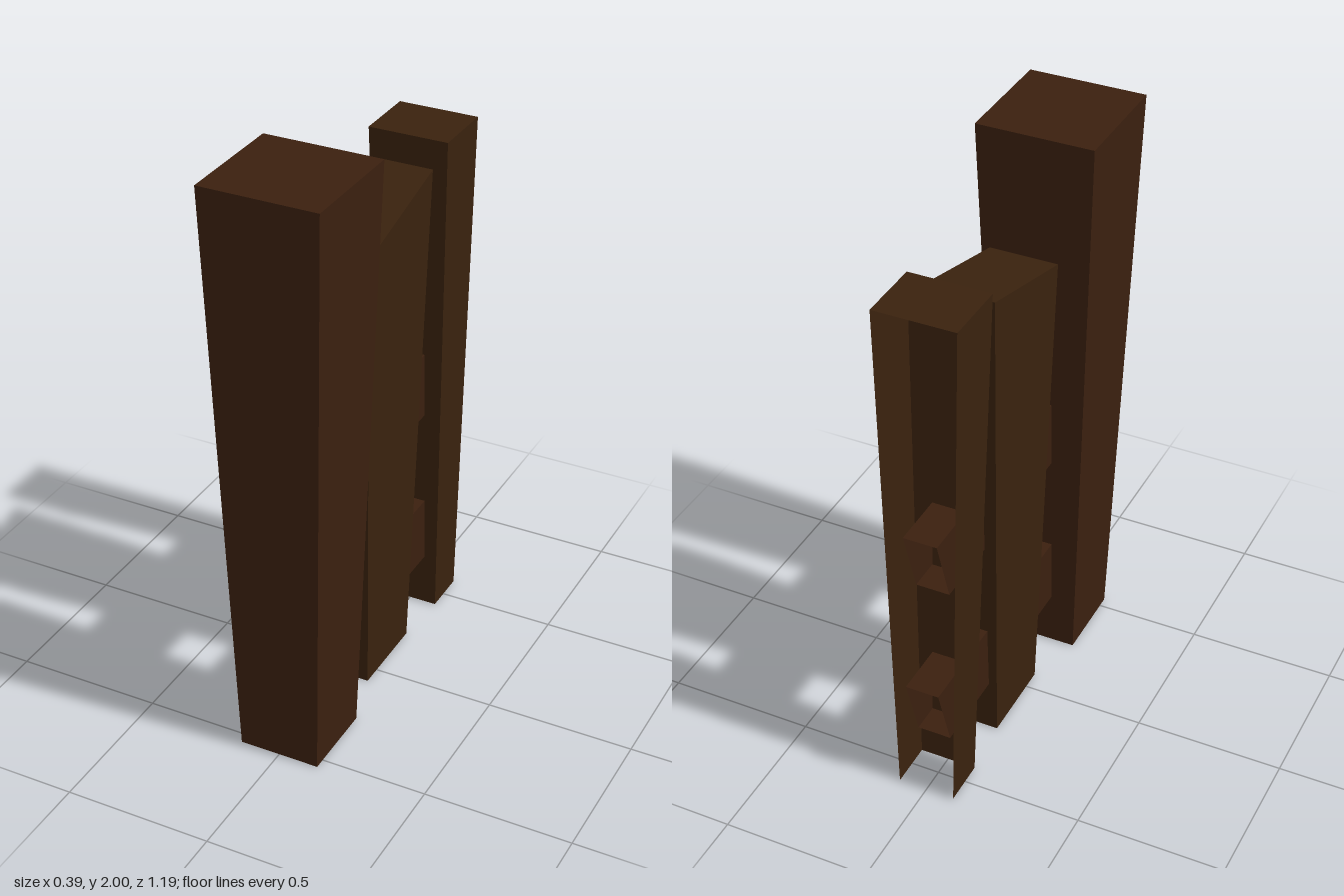
import * as THREE from 'three';

const redBrown = new THREE.MeshStandardMaterial({ color: 0x3b200f, side: THREE.DoubleSide });
redBrown.name = 'reddish dark wood';
const brown = new THREE.MeshStandardMaterial({ color: 0x3a220e, side: THREE.DoubleSide });
brown.name = 'dark wood';

// Corner order: bottom 0-3, top 4-7, each front left, front right, back right, back left
const FACES = {
  front: [1, 0, 4, 5],
  left: [0, 3, 7, 4],
  back: [3, 2, 6, 7],
  right: [2, 1, 5, 6],
  top: [5, 4, 7, 6],
  bottom: [0, 1, 2, 3],
};

// Six-sided plank from a lower and an upper rectangle; only the listed faces are built.
// Each rectangle is { w: half width, front: [z, y], back: [z, y] }.
function plank(name, material, lower, upper, faces) {
  const corners = [lower, upper].flatMap(({ w, front, back }) => [
    [w, front[1], front[0]], [-w, front[1], front[0]],
    [-w, back[1], back[0]], [w, back[1], back[0]],
  ]);
  const points = [];
  for (const face of faces) {
    const [a, b, c, d] = FACES[face].map((i) => corners[i]);
    points.push(...a, ...b, ...c, ...a, ...c, ...d);
  }
  const geometry = new THREE.BufferGeometry();
  geometry.setAttribute('position', new THREE.Float32BufferAttribute(points, 3));
  geometry.computeVertexNormals();
  const mesh = new THREE.Mesh(geometry, material);
  mesh.name = name;
  return mesh;
}

export function createModel() {
  const group = new THREE.Group();
  group.name = 'fenceSection';
  const walls = ['front', 'left', 'back', 'right', 'top'];

  // Tall end post, hollow underneath
  group.add(plank('tallPost', redBrown,
    { w: 0.138, front: [0.538, 0], back: [0.262, 0] },
    { w: 0.197, front: [0.597, 2], back: [0.203, 2] }, walls));

  // Middle post with a slanted top
  group.add(plank('middlePost', brown,
    { w: 0.082, front: [0.068, 0], back: [-0.23, 0] },
    { w: 0.115, front: [0.135, 1.625], back: [-0.303, 1.74] }, walls));

  // Half post at the far end, open at the back and underneath
  group.add(plank('halfPost', brown,
    { w: 0.097, front: [-0.43, 0], back: [-0.586, 0] },
    { w: 0.137, front: [-0.362, 1.81], back: [-0.586, 1.81] },
    ['front', 'left', 'right', 'top']));

  // Two cross rails, open at their slanted back ends
  for (const [name, y, end] of [['lowerRail', 0.197, -0.597], ['upperRail', 0.785, -0.584]]) {
    group.add(plank(name, redBrown,
      { w: 0.057, front: [0.35, y], back: [end + 0.075, y] },
      { w: 0.057, front: [0.35, y + 0.237], back: [end, y + 0.237] },
      ['left', 'right', 'top', 'bottom']));
  }
  return group;
}
